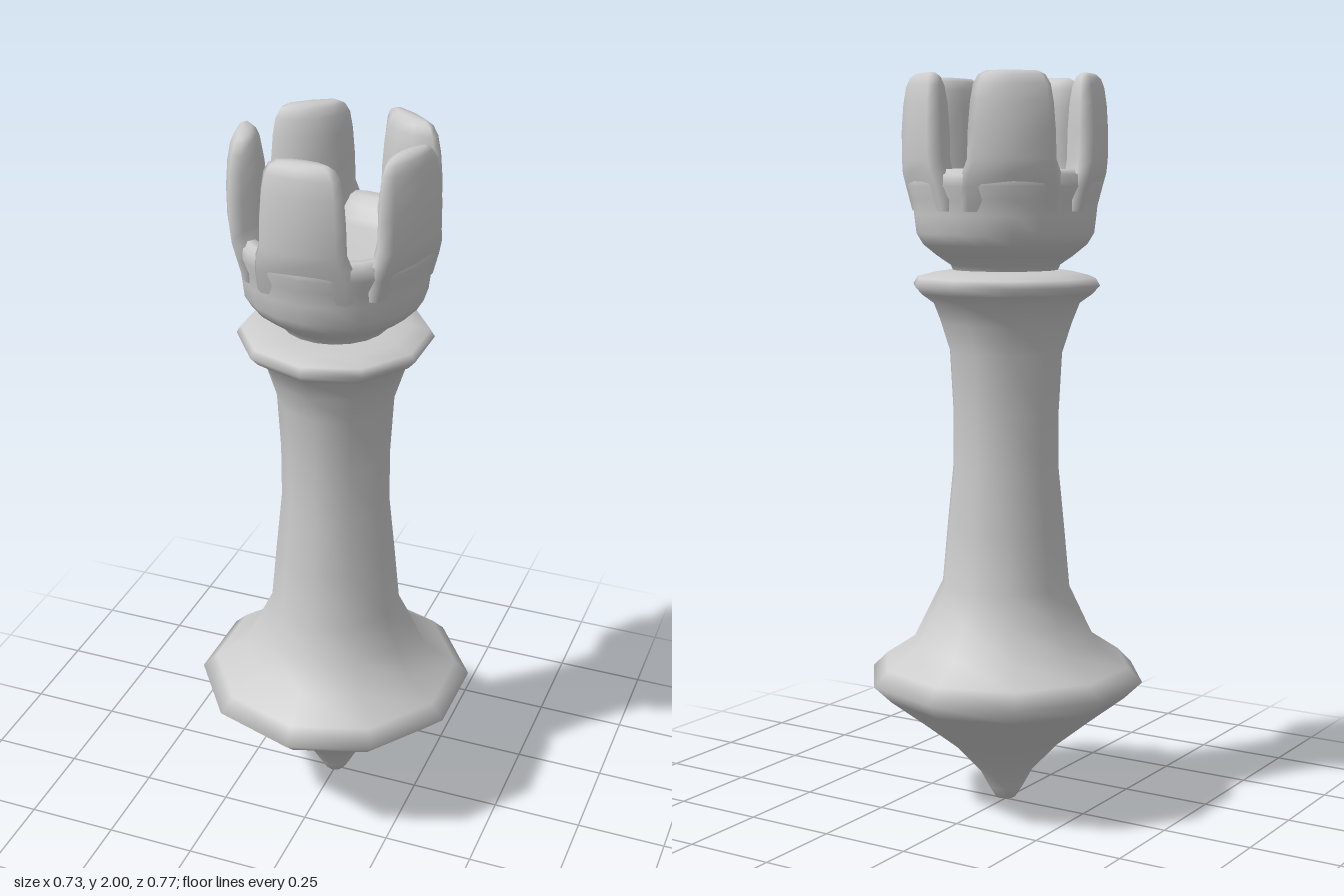
import * as THREE from 'three';

const material = new THREE.MeshStandardMaterial({ color: 0xcccccc });

function turned(name, sides, profile) {
  const points = profile.map(([r, y]) => new THREE.Vector2(r, y));
  const mesh = new THREE.Mesh(new THREE.LatheGeometry(points, sides), material);
  mesh.name = name;
  return mesh;
}

// Loft of one rounded crenel, standing on the +z side of the rim
function merlonGeometry() {
  const mid = 0.225;
  const section = [ // x, z; anticlockwise when seen from above
    [0, 0.276], [0.098, 0.26], [0.113, 0.225], [0.06, 0.182],
    [0, 0.172], [-0.06, 0.182], [-0.113, 0.225], [-0.098, 0.26],
  ];
  const levels = [ // y, width scale, depth scale, outward shift
    [1.64, 1.15, 0.6, -0.02], [1.7, 1.2, 0.85, -0.014], [1.74, 1.13, 0.98, -0.006],
    [1.775, 1.02, 1, -0.001], [1.85, 1, 1, 0], [1.92, 0.95, 0.9, 0],
    [1.965, 0.88, 0.74, 0], [1.988, 0.76, 0.55, 0], [1.998, 0.58, 0.32, 0], [2, 0, 0, 0],
  ];
  const positions = [], index = [], n = section.length;
  for (const [y, sx, sz, shift] of levels)
    for (const [x, z] of section) positions.push(x * sx, y, mid + (z - mid) * sz + shift);
  for (let i = 0; i < levels.length - 1; i++)
    for (let j = 0; j < n; j++) {
      const a = i * n + j, b = i * n + (j + 1) % n;
      index.push(a, b, b + n);
      if (i < levels.length - 2) index.push(a, b + n, a + n);
      else index.splice(-3, 3, a, b, (i + 1) * n);
    }
  const geometry = new THREE.BufferGeometry();
  geometry.setAttribute('position', new THREE.Float32BufferAttribute(positions, 3));
  geometry.setIndex(index);
  geometry.computeVertexNormals();
  return geometry;
}

export function createModel() {
  const model = new THREE.Group();
  model.name = 'rookPiece';

  // Ten-sided body: pointed foot, wide skirt, waisted column and collar
  model.add(turned('body', 10, [
    [0, 0], [0.028, 0.008], [0.048, 0.04], [0.075, 0.09], [0.145, 0.165],
    [0.24, 0.24], [0.335, 0.312], [0.385, 0.36], [0.345, 0.4], [0.262, 0.455],
    [0.222, 0.535], [0.18, 0.62], [0.165, 0.78], [0.148, 0.95], [0.148, 1.1],
    [0.157, 1.26], [0.183, 1.34], [0.205, 1.395], [0.24, 1.42], [0.26, 1.442],
    [0.248, 1.462], [0.2, 1.474], [0.15, 1.482], [0, 1.484],
  ]));

  // Cup-shaped head with a recessed floor
  model.add(turned('head', 20, [
    [0.14, 1.475], [0.148, 1.495], [0.185, 1.52], [0.222, 1.55], [0.24, 1.58],
    [0.246, 1.63], [0.25, 1.67], [0.262, 1.705], [0.26, 1.735], [0.245, 1.75],
    [0.22, 1.746], [0.195, 1.725], [0.17, 1.7], [0.145, 1.69], [0, 1.69],
  ]));

  // Five crenels around the rim
  const geometry = merlonGeometry();
  for (let i = 0; i < 5; i++) {
    const merlon = new THREE.Mesh(geometry, material);
    merlon.name = 'merlon' + (i + 1);
    merlon.rotation.y = (i * Math.PI * 2) / 5;
    model.add(merlon);
  }
  return model;
}
